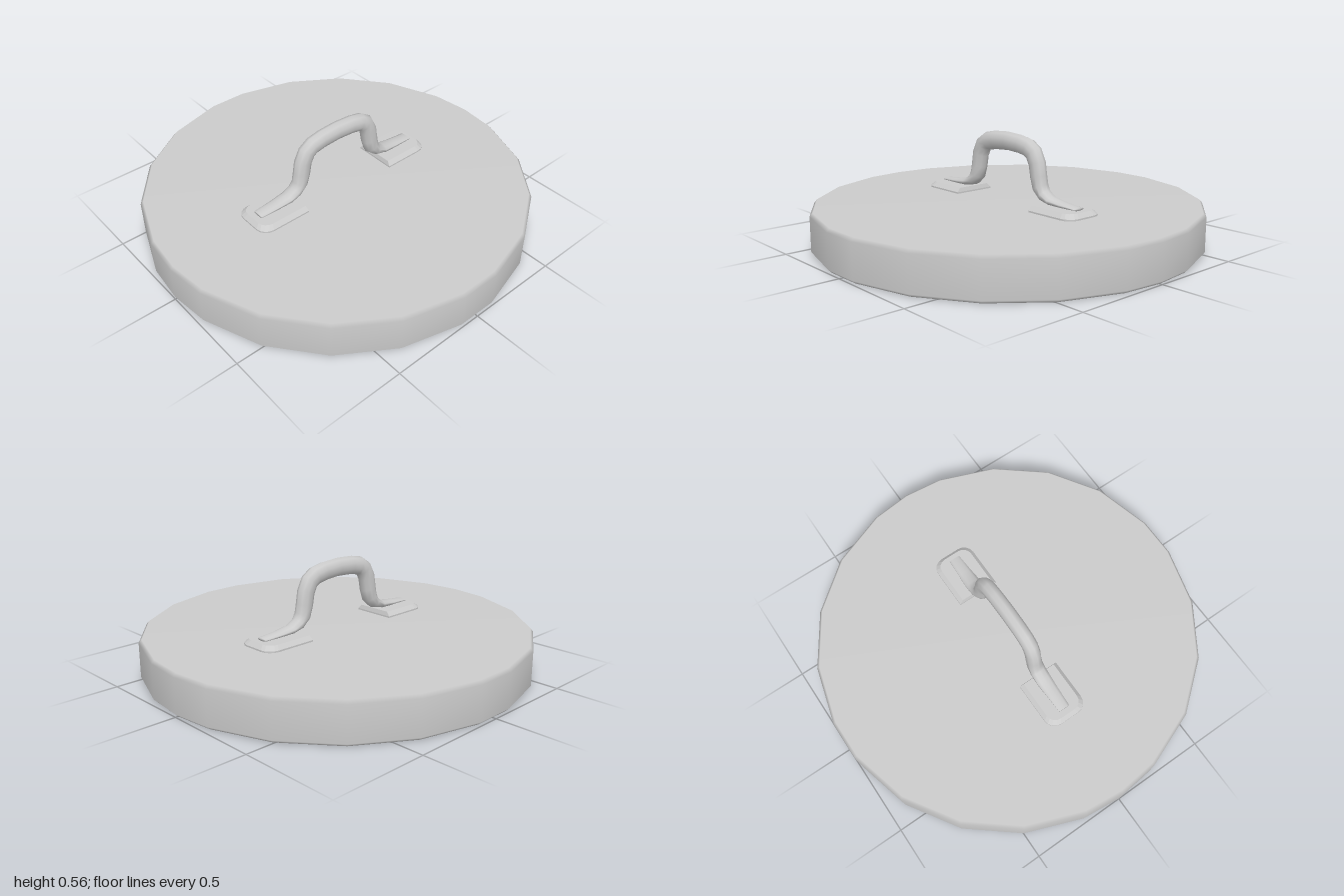
import * as THREE from 'three';

const smooth = new THREE.MeshStandardMaterial({ color: 0xcccccc });
const faceted = new THREE.MeshStandardMaterial({ color: 0xcccccc, flatShading: true });

// Skin a list of closed rings (equal point counts) and cap both ends.
function loft(rings) {
  const n = rings[0].length, last = rings.length - 1;
  const points = rings.flat(), index = [];
  const middle = ring => ring.reduce((s, p) => s.add(p), new THREE.Vector3()).divideScalar(n);
  const start = points.push(middle(rings[0])) - 1;
  const end = points.push(middle(rings[last])) - 1;
  for (let j = 0; j < n; j++) {
    const k = (j + 1) % n;
    for (let i = 0; i < last; i++) {
      const a = i * n + j, b = i * n + k;
      index.push(a, a + n, b, b, a + n, b + n);
    }
    index.push(start, j, k, end, last * n + k, last * n + j);
  }
  const geometry = new THREE.BufferGeometry().setFromPoints(points);
  geometry.setIndex(index);
  geometry.computeVertexNormals();
  return geometry;
}

function addMesh(group, name, geometry, material) {
  const mesh = new THREE.Mesh(geometry, material);
  mesh.name = name;
  group.add(mesh);
  return mesh;
}

// Round lid with slightly softened rims
function lidGeometry() {
  const quarter = [12, 30, 48, 66, 84];
  const half = [0, ...quarter, ...quarter.map(a => 180 - a).reverse()];
  const angles = [...half, ...half.map(a => a + 180)].map(THREE.MathUtils.degToRad);
  const profile = [[0.985, 0], [1, 0.015], [1, 0.19], [0.985, 0.207]];
  return loft(profile.map(([r, y]) =>
    angles.map(a => new THREE.Vector3(r * Math.cos(a), y, r * Math.sin(a)))));
}

// Mounting pad: square inner corners, rounded outer corners, sloped edge
function padGeometry() {
  const ring = (inset, y) => {
    const inner = 0.273 + inset * 0.3, outer = 0.55 - inset, w = 0.113 - inset, r = 0.06 - inset / 2;
    const pts = [new THREE.Vector3(inner, y, -w)];
    for (const side of [-1, 1]) {
      for (let i = 0; i <= 4; i++) {
        const a = (i / 4 + (side < 0 ? -1 : 0)) * Math.PI / 2;
        pts.push(new THREE.Vector3(outer - r + r * Math.cos(a), y, side * (w - r) + r * Math.sin(a)));
      }
    }
    pts.push(new THREE.Vector3(inner, y, w));
    return pts;
  };
  return loft([ring(0, 0.2), ring(0, 0.215), ring(0.02, 0.236)]);
}

// Arched handle with flattened feet
function handleGeometry() {
  // x, y, half thickness, half width
  const side = [
    [0.5, 0.243, 0.007, 0.032], [0.4, 0.247, 0.014, 0.037], [0.32, 0.254, 0.02, 0.042],
    [0.27, 0.274, 0.031, 0.042], [0.24, 0.308, 0.042, 0.04], [0.226, 0.36, 0.046, 0.039],
    [0.215, 0.423, 0.047, 0.039], [0.19, 0.472, 0.048, 0.039], [0.155, 0.494, 0.048, 0.039],
    [0.095, 0.506, 0.048, 0.039],
  ];
  const stations = [...side.map(([x, ...rest]) => [-x, ...rest]),
    [0, 0.512, 0.048, 0.039], ...side.slice().reverse()];
  const sides = 10;
  return loft(stations.map(([x, y, thick, wide], i) => {
    const p = stations[Math.max(i - 1, 0)], q = stations[Math.min(i + 1, stations.length - 1)];
    const t = new THREE.Vector2(q[0] - p[0], q[1] - p[1]).normalize();
    return Array.from({ length: sides }, (_, j) => {
      const a = j / sides * Math.PI * 2, u = thick * Math.cos(a);
      return new THREE.Vector3(x - t.y * u, y + t.x * u, -wide * Math.sin(a));
    });
  }));
}

export function createModel() {
  const model = new THREE.Group();
  model.name = 'lidWithHandle';
  addMesh(model, 'lid', lidGeometry(), smooth);
  const pad = padGeometry();
  addMesh(model, 'leftPad', pad, faceted);
  addMesh(model, 'rightPad', pad, faceted).rotation.y = Math.PI;
  addMesh(model, 'handle', handleGeometry(), smooth);
  return model;
}
